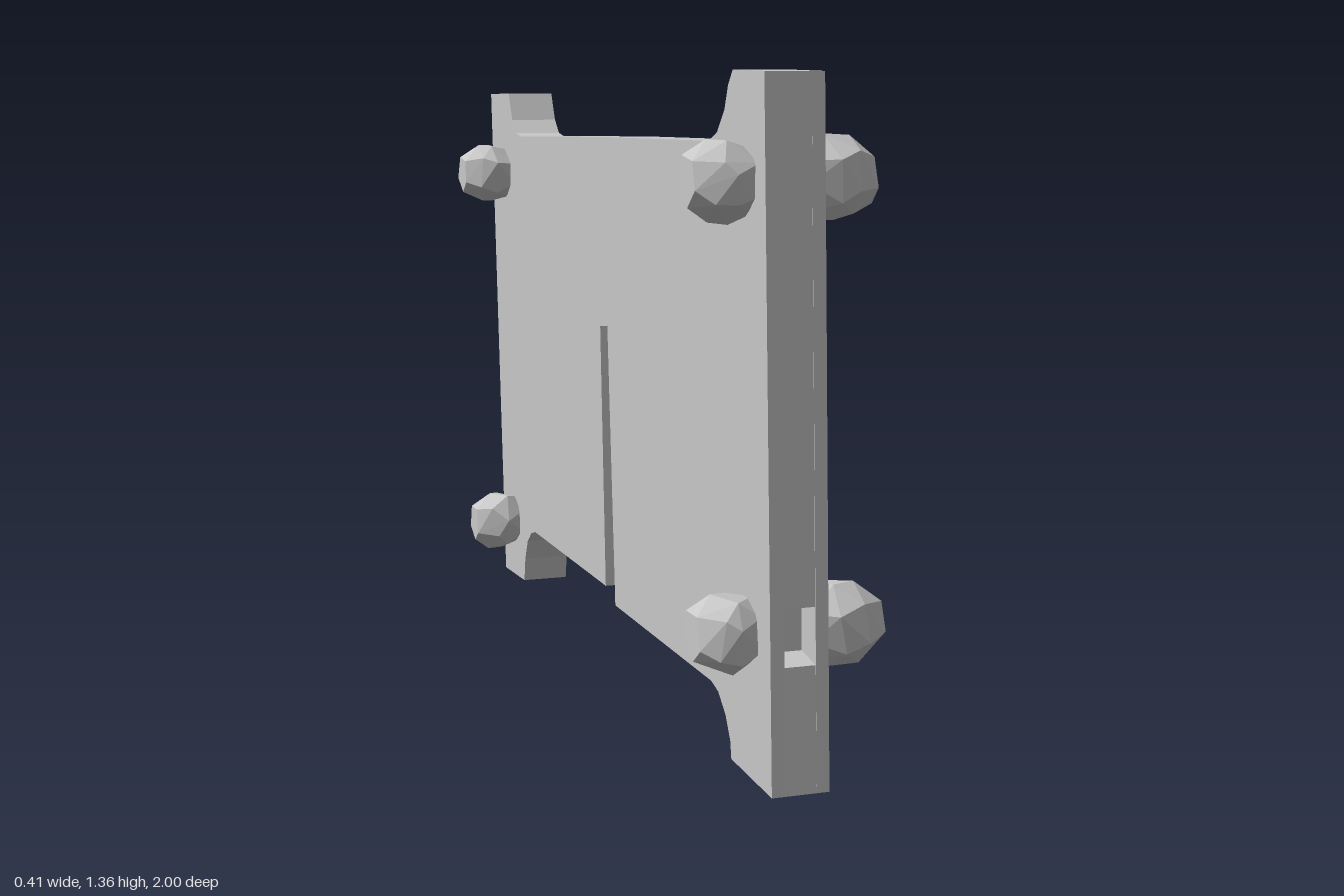
import * as THREE from 'three';
import { ConvexGeometry } from 'three/addons/geometries/ConvexGeometry.js';

const THICK = 0.115;

// The panel leans slightly: x of its mid plane at a given height and depth
const midX = (y, z) => -0.008 + 0.006 * z - 0.017 * y;

// Side outline as [z, y], without the lower front edge
const OUTLINE = [
  [0.985, 1.36], [0.83, 1.363], [0.805, 1.335], [0.785, 1.29], [0.745, 1.248], [0.70, 1.23],
  [0, 1.218], [-0.70, 1.2], [-0.745, 1.207], [-0.78, 1.24], [-0.8, 1.285], [-0.81, 1.308],
  [-1, 1.305], [-0.975, 0], [-0.775, 0.012], [-0.76, 0.075], [-0.73, 0.13], [-0.69, 0.16], [-0.65, 0.172],
  [-0.025, 0.183], [-0.03, 0.79], [0.025, 0.797], [0.047, 0.155],
  [0.68, 0.165], [0.72, 0.155], [0.76, 0.12], [0.785, 0.075], [0.79, 0.04], [1, 0.035],
];
// Small pocket in the front edge
const POCKET = [[0.996, 0.28], [0.93, 0.29], [0.93, 0.38], [0.994, 0.39]];

function panelLayer(points, x0, x1) {
  const shape = new THREE.Shape(points.map(([z, y]) => new THREE.Vector2(-z, y)));
  const geo = new THREE.ExtrudeGeometry(shape, { depth: x1 - x0, bevelEnabled: false });
  geo.rotateY(Math.PI / 2).translate(x0, 0, 0);
  const p = geo.attributes.position;
  for (let i = 0; i < p.count; i++) p.setX(i, p.getX(i) + midX(p.getY(i), p.getZ(i)));
  geo.computeVertexNormals();
  return geo;
}

function seeded(seed) {
  return () => {
    seed = (seed * 16807) % 2147483647;
    return seed / 2147483647 - 0.5;
  };
}

// Rough faceted bolt end: jittered rings around the x axis, wrapped in a hull
function boltEnd(side, start, tip, y, z, seed) {
  const rnd = seeded(seed);
  const rings = side > 0
    ? [[0, 0.07, 7], [0.35, 0.083, 8], [0.7, 0.077, 7], [1, 0.045, 5]]
    : [[0, 0.06, 6], [0.4, 0.078, 7], [0.65, 0.074, 6], [1, 0.05, 5]];
  const points = [];
  rings.forEach(([t, r, n], k) => {
    for (let i = 0; i < n; i++) {
      const a = ((i + k * 0.5 + rnd() * 0.35) / n) * Math.PI * 2;
      const rr = r * (1 + rnd() * 0.12);
      const x = start + (tip - start) * Math.min(1, t + (k === 1 || k === 2 ? rnd() * 0.15 : 0));
      points.push(new THREE.Vector3(x, y + Math.cos(a) * rr, z + Math.sin(a) * rr));
    }
  });
  return new ConvexGeometry(points);
}

export function createModel() {
  const group = new THREE.Group();
  const grey = new THREE.MeshStandardMaterial({ color: 0xc8c8c8, flatShading: true });
  grey.name = 'plain grey';
  const add = (parent, name, geo) => {
    const mesh = new THREE.Mesh(geo, grey);
    mesh.name = name;
    parent.add(mesh);
  };

  // Slotted panel, in three layers so the middle one can hold the pocket
  const panel = new THREE.Group();
  panel.name = 'slottedPanel';
  group.add(panel);
  const h = THICK / 2;
  const pocketed = [...OUTLINE, ...POCKET];
  add(panel, 'rightFace', panelLayer(OUTLINE, -h, -0.03));
  add(panel, 'core', panelLayer(pocketed, -0.03, 0.032));
  add(panel, 'leftFace', panelLayer(OUTLINE, 0.032, h));

  // Corner bolts: name, y, z, right tip x, left tip x
  const bolts = [
    ['frontTopBolt', 1.165, 0.88, -0.19, 0.17],
    ['frontBottomBolt', 0.322, 0.88, -0.175, 0.2],
    ['backTopBolt', 1.1, -0.87, -0.205, 0.165],
    ['backBottomBolt', 0.163, -0.865, -0.185, 0.193],
  ];
  bolts.forEach(([name, y, z, right, left], i) => {
    const bolt = new THREE.Group();
    bolt.name = name;
    group.add(bolt);
    const x = midX(y, z);
    add(bolt, 'rightKnob', boltEnd(-1, x - 0.045, right, y, z, 1234 + i * 7919));
    add(bolt, 'leftKnob', boltEnd(1, x + 0.045, left, y, z, 4321 + i * 6007));
  });
  return group;
}
